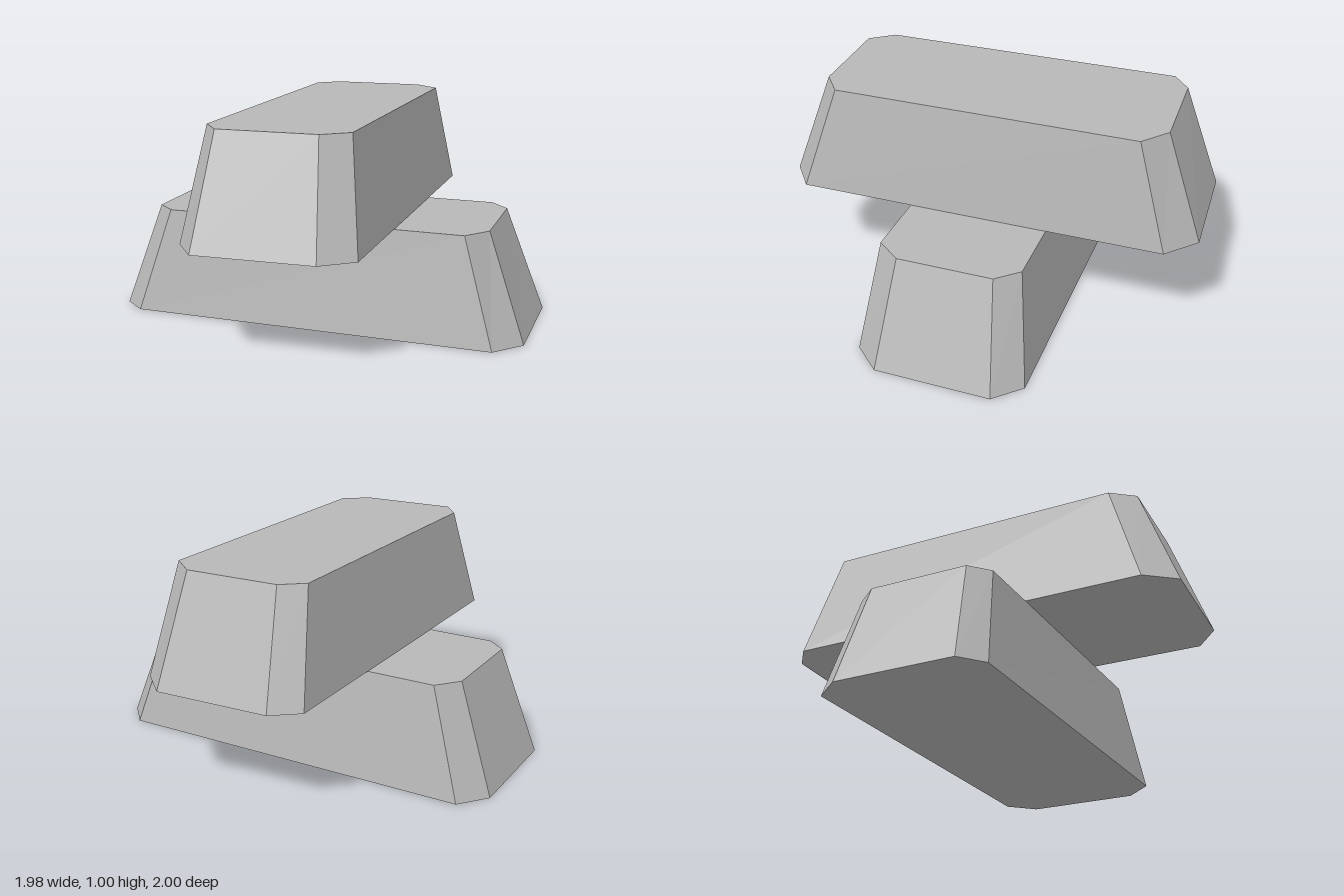
import * as THREE from 'three';

// Solid block tapering from one octagonal outline to another; outlines are [x, z] corners
function taperedBlock(bottom, top, y0, y1) {
  const pos = [];
  const b = bottom.map(([x, z]) => [x, y0, z]);
  const t = top.map(([x, z]) => [x, y1, z]);
  const tri = (...corners) => corners.forEach((c) => pos.push(...c));
  const n = b.length;
  for (let i = 0; i < n; i++) {
    const j = (i + 1) % n;
    tri(b[i], t[i], b[j]);
    tri(t[i], t[j], b[j]);
    if (i > 0 && i < n - 1) {
      tri(b[0], b[i], b[j]);
      tri(t[0], t[j], t[i]);
    }
  }
  const geometry = new THREE.BufferGeometry();
  geometry.setAttribute('position', new THREE.Float32BufferAttribute(pos, 3));
  geometry.computeVertexNormals();
  return geometry;
}

export function createModel() {
  const group = new THREE.Group();
  group.name = 'stackedIngots';
  const metal = new THREE.MeshStandardMaterial({ color: 0xb8b8b8, flatShading: true });
  metal.name = 'greyMetal';

  const addIngot = (name, bottom, top, y0, y1) => {
    const mesh = new THREE.Mesh(taperedBlock(bottom, top, y0, y1), metal);
    mesh.name = name;
    group.add(mesh);
  };

  // Lower ingot, lying across x
  addIngot('lowerIngot',
    [[-0.99, -0.28], [-0.885, -0.41], [0.87, -0.4], [0.985, -0.28],
      [0.98, 0.27], [0.86, 0.4], [-0.88, 0.37], [-0.99, 0.28]],
    [[-0.815, -0.235], [-0.73, -0.34], [0.71, -0.33], [0.8, -0.23],
      [0.8, 0.215], [0.71, 0.33], [-0.725, 0.31], [-0.815, 0.23]],
    0, 0.5);

  // Upper ingot, lying along z on top of the lower one
  addIngot('upperIngot',
    [[-0.41, -0.885], [-0.29, -0.98], [0.25, -1], [0.39, -0.87],
      [0.39, 0.87], [0.25, 0.98], [-0.3, 0.995], [-0.41, 0.855]],
    [[-0.34, -0.73], [-0.24, -0.81], [0.2, -0.82], [0.32, -0.72],
      [0.315, 0.71], [0.2, 0.8], [-0.255, 0.81], [-0.34, 0.7]],
    0.502, 1);

  return group;
}
